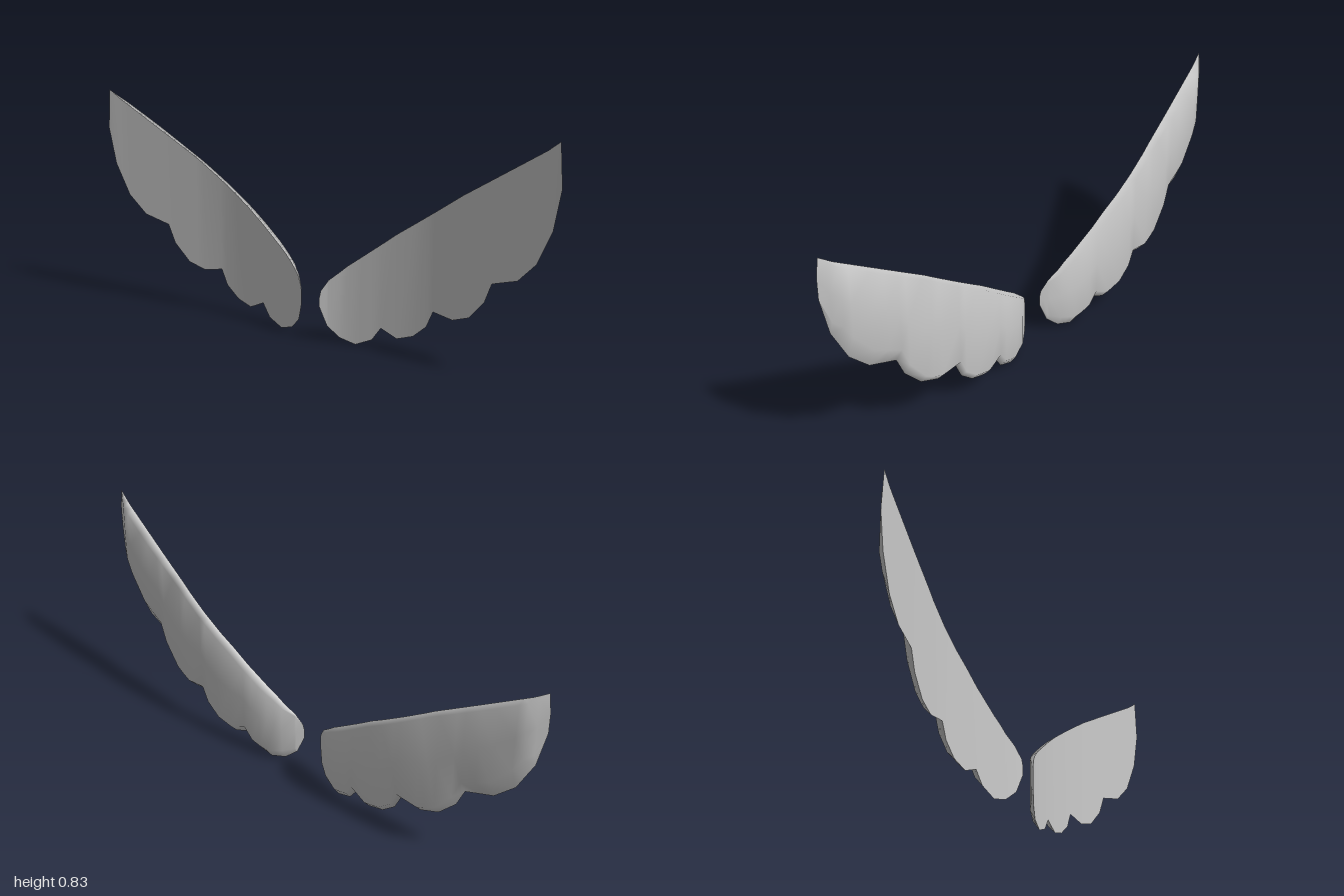
import * as THREE from 'three';

// Piecewise-linear lookup through [x, value] pairs
function lerpAt(table, x) {
  for (let i = 1; i < table.length; i++) {
    const [x0, v0] = table[i - 1], [x1, v1] = table[i];
    if (x <= x1) return v0 + (v1 - v0) * Math.max(0, (x - x0) / (x1 - x0));
  }
  return table[table.length - 1][1];
}

// Leading (upper) edge and scalloped feather (lower) edge
const upper = [[0.04, 0.165], [0.045, 0.19], [0.07, 0.23], [0.14, 0.29], [0.335, 0.43], [0.6, 0.6], [1, 0.83]];
const lower = [[0.04, 0.13], [0.065, 0.06], [0.11, 0.02], [0.17, 0.003], [0.235, 0.03], [0.27, 0.078],
  [0.335, 0.05], [0.4, 0.07], [0.455, 0.115], [0.482, 0.173], [0.565, 0.16], [0.635, 0.183], [0.7, 0.25],
  [0.73, 0.32], [0.835, 0.35], [0.91, 0.42], [0.97, 0.54], [1, 0.68]];
// Bow of the front sheet, thickness and bevel width along the span
const bow = [[0.04, 0.048], [0.065, 0.035], [0.11, 0.018], [0.17, 0.005], [0.27, -0.01], [0.4, -0.02],
  [0.52, -0.02], [0.73, 0.008], [0.91, 0.034], [1, 0.048]];
const thick = [[0.04, 0], [0.11, 0.02], [0.2, 0.03], [0.6, 0.028], [0.8, 0.034], [0.94, 0.03], [1, 0]];
const bevel = [[0.04, 0.005], [0.11, 0.04], [0.4, 0.03], [0.6, 0.03], [0.75, 0.06], [0.91, 0.09], [0.95, 0.08], [1, 0]];

const stations = [...new Set([...lower, ...upper].map(p => p[0]).concat(0.052, 0.2, 0.785, 0.94))].sort((a, b) => a - b);

// Joins one profile per station into a smooth surface
function loft(profileAt, side) {
  const rows = stations.map(profileAt), n = rows[0].length;
  const pos = [], idx = [];
  rows.forEach(r => r.forEach(([x, y, z]) => pos.push(side * x, y, z)));
  for (let i = 0; i < rows.length - 1; i++) for (let j = 0; j < n - 1; j++) {
    const a = i * n + j, b = a + n, c = b + 1, d = a + 1;
    if (side > 0) idx.push(a, b, c, a, c, d);
    else idx.push(a, c, b, a, d, c);
  }
  const g = new THREE.BufferGeometry();
  g.setAttribute('position', new THREE.Float32BufferAttribute(pos, 3));
  g.setIndex(idx);
  g.computeVertexNormals();
  return g;
}

// The tip leans in slightly at the top of the last station
const topX = x => x - 0.01 * Math.max(0, (x - 0.94) / 0.06);

const frontProfile = x => {
  const z = lerpAt(bow, x);
  return [[x, lerpAt(lower, x), z], [topX(x), lerpAt(upper, x), z]];
};

// Over the leading edge, across the back and down the bevel to the feather edge
const backProfile = x => {
  const z = lerpAt(bow, x), d = lerpAt(thick, x);
  const lo = lerpAt(lower, x), hi = lerpAt(upper, x);
  const backHi = hi - Math.min(0.01, d * 0.4);
  const backLo = lo + Math.min(lerpAt(bevel, x), (hi - lo) * 0.4);
  return [
    [topX(x), hi, z],
    [topX(x), backHi, z - d],
    [x, (backHi + backLo) / 2, z - d * 1.03],
    [x, backLo, z - d],
    [x, lo, z],
  ];
};

export function createModel() {
  const model = new THREE.Group();
  model.name = 'wings';
  const material = new THREE.MeshStandardMaterial({ color: 0xcccccc });
  for (const [name, side] of [['leftWing', 1], ['rightWing', -1]]) {
    const wing = new THREE.Group();
    wing.name = name;
    const front = new THREE.Mesh(loft(frontProfile, side), material);
    front.name = name + 'Front';
    const back = new THREE.Mesh(loft(backProfile, side), material);
    back.name = name + 'Back';
    wing.add(front, back);
    model.add(wing);
  }
  return model;
}
